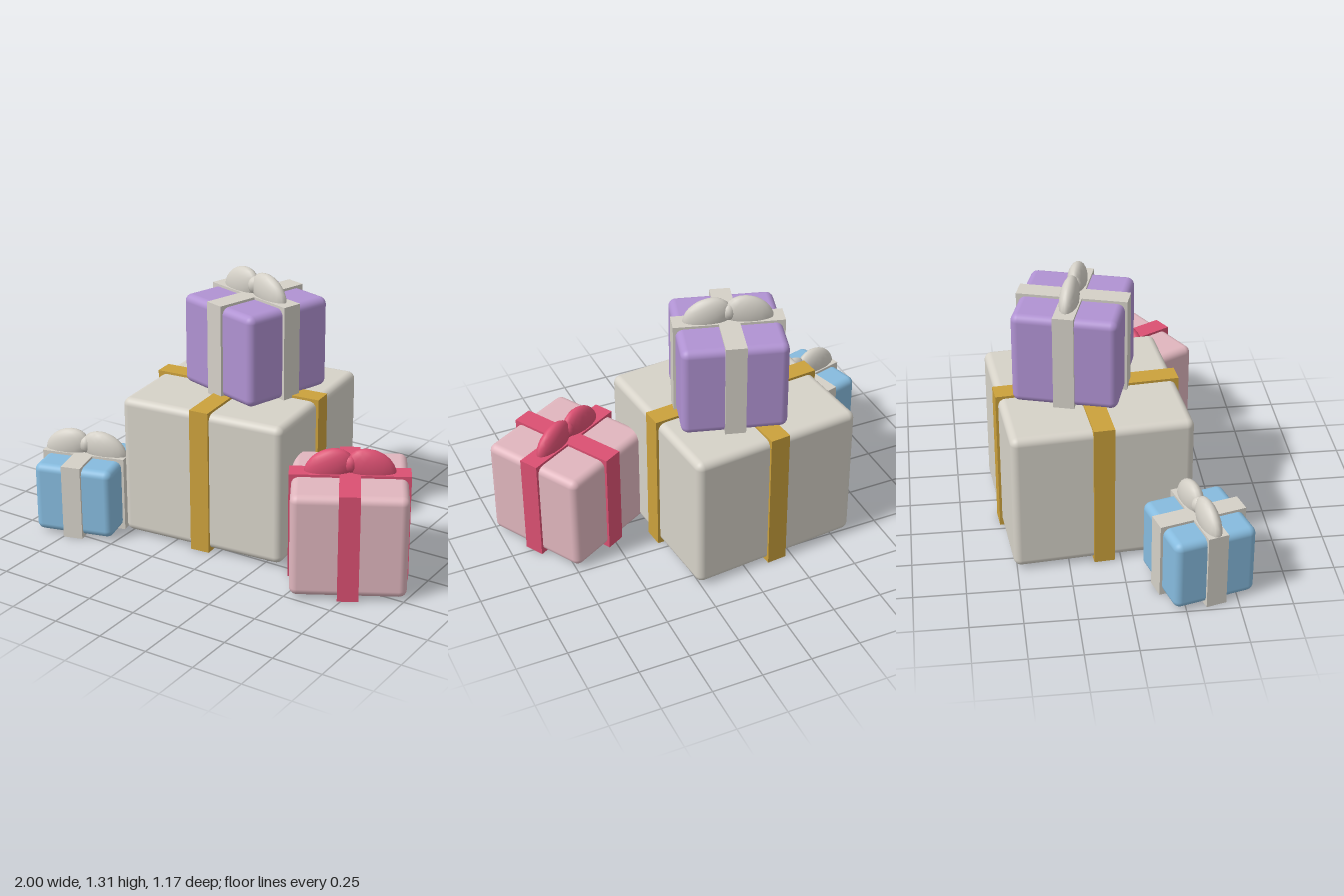
import * as THREE from 'three';
import { RoundedBoxGeometry } from 'three/addons/geometries/RoundedBoxGeometry.js';

const mat = (name, color) => {
  const m = new THREE.MeshStandardMaterial({ color });
  m.name = name;
  return m;
};

// Plus-shaped outline: two crossing ribbon strips of length 2a and width 2b
function crossShape(a, b) {
  const quarter = [[a, -b], [a, b], [b, b]];
  const points = [];
  for (let i = 0; i < 4; i++) {
    for (const [x, y] of quarter) {
      const p = new THREE.Vector2(x, y);
      for (let k = 0; k < i; k++) p.set(-p.y, p.x);
      points.push(p);
    }
  }
  return new THREE.Shape(points);
}

function add(parent, name, geometry, material) {
  const mesh = new THREE.Mesh(geometry, material);
  mesh.name = name;
  parent.add(mesh);
  return mesh;
}

// Gift: rounded box, wrapped ribbon standing slightly proud, optional bow
function makeGift({ name, x, z, y = 0, size, height, turn, paper, ribbon, bow = true, gap = 0.0125 }) {
  const gift = new THREE.Group();
  gift.name = name;
  gift.position.set(x, y, z);
  gift.rotation.y = turn;

  const box = add(gift, 'box', new RoundedBoxGeometry(size, height - 2 * gap, size, 4, 0.037), paper);
  box.position.y = height / 2;

  const band = new THREE.ExtrudeGeometry(crossShape(size / 2 + gap, 0.05), { depth: height, bevelEnabled: false });
  band.rotateX(-Math.PI / 2);
  add(gift, 'ribbon', band, ribbon);

  if (bow) {
    // Two flattened loops leaning towards a small knot
    for (const side of [-1, 1]) {
      const loop = add(gift, 'bowLoop', new THREE.SphereGeometry(1, 16, 12), ribbon);
      loop.scale.set(0.122, 0.088, 0.045);
      loop.position.set(side * 0.1, height + 0.02, 0);
      loop.rotation.z = -side * 0.45;
    }
    const knot = add(gift, 'bowKnot', new THREE.SphereGeometry(1, 12, 10), ribbon);
    knot.scale.set(0.035, 0.045, 0.04);
    knot.position.y = height + 0.04;
  }
  return gift;
}

export function createModel() {
  const cream = mat('cream paper', 0xd6d2c8);
  const gold = mat('gold ribbon', 0xcba13c);
  const purple = mat('purple paper', 0xb092d2);
  const white = mat('white ribbon', 0xd4d0c7);
  const pink = mat('pink paper', 0xe0b6be);
  const red = mat('rose ribbon', 0xdb5072);
  const blue = mat('blue paper', 0x86bbde);

  const model = new THREE.Group();
  model.name = 'giftPile';
  model.add(
    makeGift({ name: 'largeGift', x: -0.128, z: -0.12, size: 0.867, height: 0.737, turn: 0.09, paper: cream, ribbon: gold, bow: false }),
    makeGift({ name: 'topGift', x: -0.077, z: -0.17, y: 0.713, size: 0.506, height: 0.484, turn: -0.29, paper: purple, ribbon: white }),
    makeGift({ name: 'pinkGift', x: 0.639, z: 0.136, size: 0.548, height: 0.534, turn: 0.51, paper: pink, ribbon: red }),
    makeGift({ name: 'blueGift', x: -0.758, z: 0.338, size: 0.406, height: 0.382, turn: 0.265, paper: blue, ribbon: white })
  );
  return model;
}
